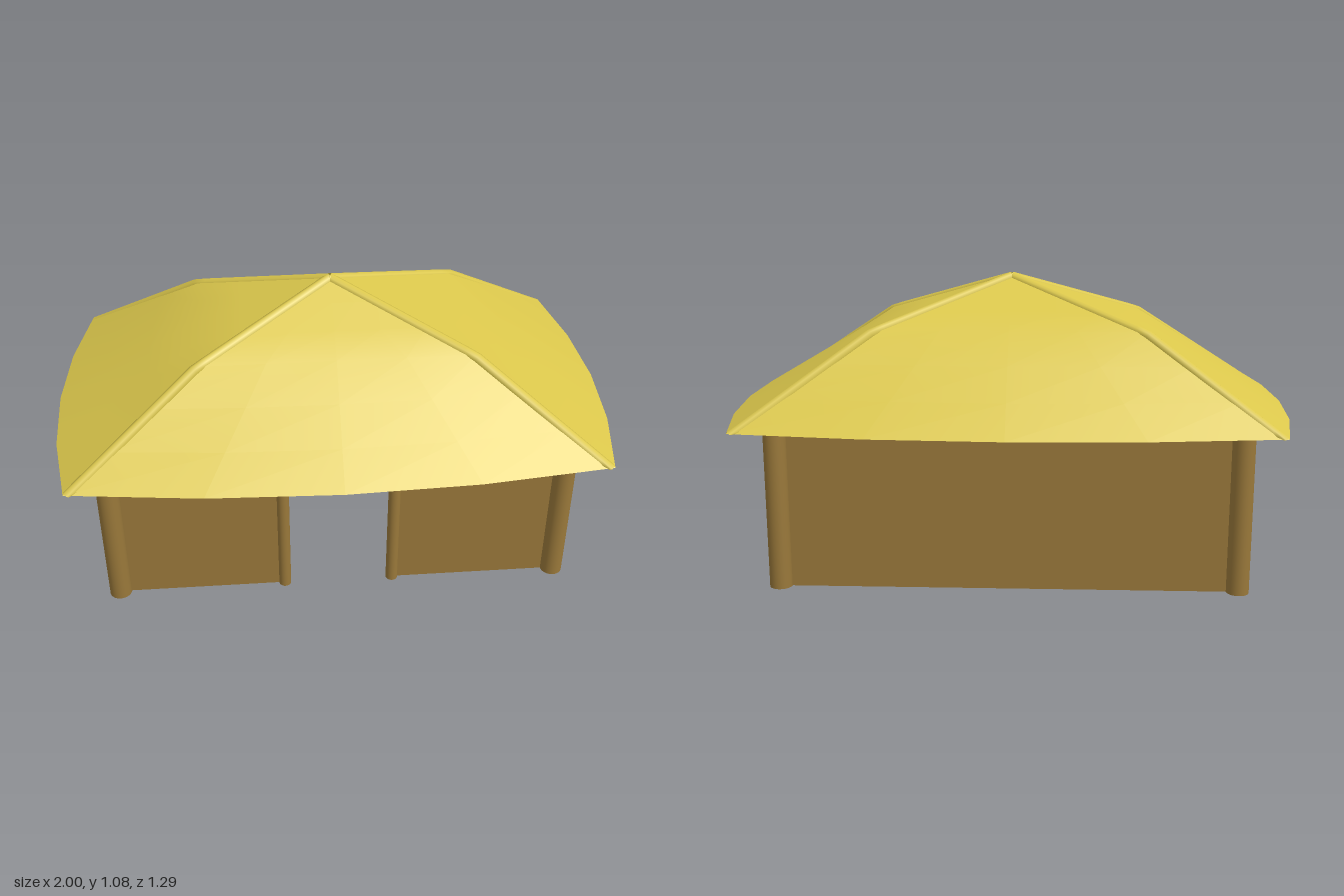
import * as THREE from 'three';

const wallMat = new THREE.MeshStandardMaterial({ color: 0x99783a, side: THREE.DoubleSide });
wallMat.name = 'brown wood';
const roofMat = new THREE.MeshStandardMaterial({ color: 0xdcc84c, side: THREE.DoubleSide });
roofMat.name = 'yellow thatch';

const WALL_H = 0.6, WX = 0.81, WZ = 0.41, DOOR = 0.2;
const POST_R = 0.04, JAMB_R = 0.022;
const APEX = new THREE.Vector3(0, 1.07, 0);
const KNEE = new THREE.Vector3(0.48, 0.905, 0.3);
const CORNER = new THREE.Vector3(0.93, WALL_H, 0.575);
const BULGE = 0.07;

function add(parent, name, geometry, material) {
  const mesh = new THREE.Mesh(geometry, material);
  mesh.name = name;
  parent.add(mesh);
  return mesh;
}

// Point on the hip line, t = 0 at the apex and 1 at the eave corner
function hip(t) {
  return t < 0.5
    ? APEX.clone().lerp(KNEE, t * 2)
    : KNEE.clone().lerp(CORNER, t * 2 - 1);
}

// Triangular roof panel whose eave bows outwards between two hips
function roofPanel(alongX) {
  const geo = new THREE.PlaneGeometry(2, 1, 4, 6);
  const pos = geo.attributes.position;
  for (let i = 0; i < pos.count; i++) {
    const u = pos.getX(i), t = 0.5 - pos.getY(i);
    const h = hip(t);
    const bow = BULGE * Math.max(0, t * 2 - 1) * (1 - u * u);
    if (alongX) pos.setXYZ(i, u * h.x, h.y, h.z + bow);
    else pos.setXYZ(i, h.x + bow, h.y, -u * h.z);
  }
  geo.computeVertexNormals();
  return geo;
}

// Rounded cap along one hip, cut flat at the eave
function hipCap(sx, sz) {
  const place = (p) => new THREE.Vector3(p.x * sx, p.y - 0.012, p.z * sz);
  const path = new THREE.CurvePath();
  path.add(new THREE.LineCurve3(place(APEX), place(KNEE)));
  path.add(new THREE.LineCurve3(place(KNEE), place(CORNER).multiply(new THREE.Vector3(0.987, 1, 0.987))));
  const geo = new THREE.TubeGeometry(path, 24, 0.02, 8);
  const pos = geo.attributes.position;
  for (let i = 0; i < pos.count; i++) pos.setY(i, Math.max(WALL_H, pos.getY(i)));
  return geo;
}

export function createModel() {
  const model = new THREE.Group();
  model.name = 'hut';

  // Thin walls
  const walls = new THREE.Group();
  walls.name = 'walls';
  model.add(walls);
  const wall = (name, width, x, z, turn) => {
    const m = add(walls, name, new THREE.PlaneGeometry(width, WALL_H), wallMat);
    m.position.set(x, WALL_H / 2, z);
    m.rotation.y = turn;
  };
  wall('backWall', WX * 2, 0, -WZ, Math.PI);
  wall('leftWall', WZ * 2, WX, 0, Math.PI / 2);
  wall('rightWall', WZ * 2, -WX, 0, -Math.PI / 2);
  for (const s of [1, -1]) {
    wall(s > 0 ? 'frontWallLeft' : 'frontWallRight', WX - DOOR, s * (WX + DOOR) / 2, WZ, 0);
  }

  // Corner posts wrap three quarters around the outside of each corner
  const corners = [[1, 1], [1, -1], [-1, -1], [-1, 1]];
  corners.forEach(([sx, sz], i) => {
    const post = add(model, 'cornerPost',
      new THREE.CylinderGeometry(POST_R, POST_R, WALL_H, 18, 1, false, -Math.PI / 2, Math.PI * 1.5), wallMat);
    post.position.set(sx * WX, WALL_H / 2, sz * WZ);
    post.rotation.y = i * Math.PI / 2;
  });

  // Half-round door posts
  for (const s of [1, -1]) {
    const jamb = add(model, 'doorPost',
      new THREE.CylinderGeometry(JAMB_R, JAMB_R, WALL_H, 12, 1, false, -Math.PI / 2, Math.PI), wallMat);
    jamb.position.set(s * DOOR, WALL_H / 2, WZ);
  }

  // Hipped roof
  const roof = new THREE.Group();
  roof.name = 'roof';
  model.add(roof);
  const longPanel = roofPanel(true), endPanel = roofPanel(false);
  for (const turn of [0, Math.PI]) {
    add(roof, turn ? 'backRoofPanel' : 'frontRoofPanel', longPanel, roofMat).rotation.y = turn;
    add(roof, turn ? 'rightRoofPanel' : 'leftRoofPanel', endPanel, roofMat).rotation.y = turn;
  }
  for (const [sx, sz] of corners) add(roof, 'hipCap', hipCap(sx, sz), roofMat);

  return model;
}
